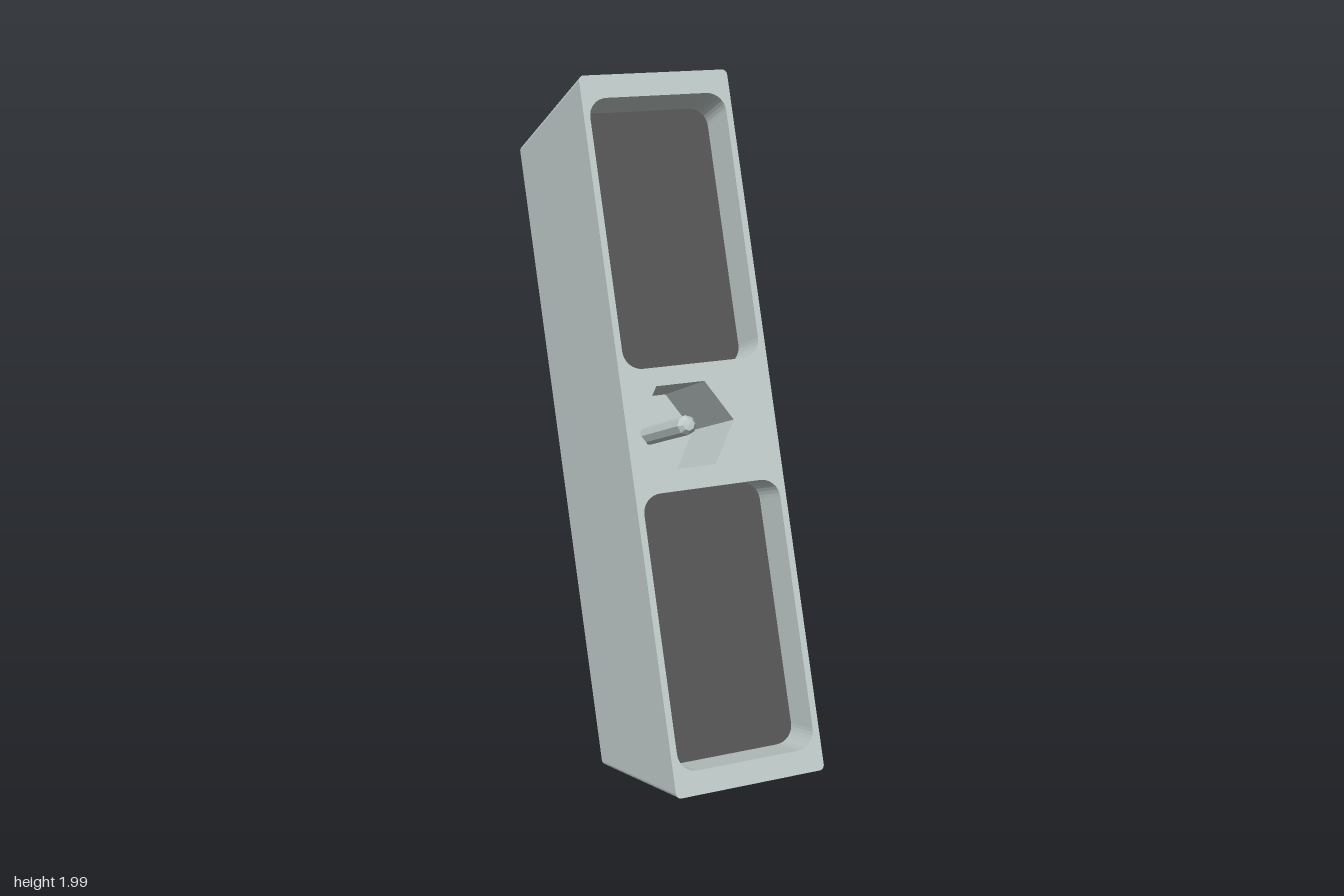
import * as THREE from 'three';

const W = 0.412, L = 1.871, D = 0.70, TILT = -0.418;
const PIN_X = -0.044, PIN_Y = 0.004;

// Rounded rectangle outline, used for both shapes and holes
function roundedRect(target, cx, cy, w, h, r) {
  const x = w / 2 - r, y = h / 2 - r;
  target.absarc(cx + x, cy + y, r, 0, Math.PI / 2);
  target.absarc(cx - x, cy + y, r, Math.PI / 2, Math.PI);
  target.absarc(cx - x, cy - y, r, Math.PI, Math.PI * 1.5);
  target.absarc(cx + x, cy - y, r, Math.PI * 1.5, Math.PI * 2);
  target.closePath();
  return target;
}

function hexagon() {
  const p = [];
  for (let i = 0; i < 6; i++) {
    const a = i * Math.PI / 3;
    p.push(new THREE.Vector2(PIN_X + 0.133 * Math.cos(a), PIN_Y + 0.129 * Math.sin(a) * 0.98));
  }
  return new THREE.Path(p);
}

export function createModel() {
  const model = new THREE.Group();
  model.name = 'tiltedCase';
  const body = new THREE.MeshStandardMaterial({ color: 0xc2cecc });
  const dark = new THREE.MeshStandardMaterial({ color: 0x555555 });
  const metal = new THREE.MeshStandardMaterial({ color: 0xc2cecc, flatShading: true, side: THREE.DoubleSide });

  const tilted = new THREE.Group();
  tilted.name = 'case';
  tilted.rotation.x = TILT;
  tilted.position.y = 1;
  model.add(tilted);

  const add = (name, geometry, material) => {
    const mesh = new THREE.Mesh(geometry, material);
    mesh.name = name;
    tilted.add(mesh);
    return mesh;
  };
  const slab = (name, shape, z0, z1, material) => {
    const g = new THREE.ExtrudeGeometry(shape, { depth: z1 - z0, bevelEnabled: false, curveSegments: 4 });
    g.translate(0, 0, z0);
    return add(name, g, material);
  };

  const pocket = (target, s) => roundedRect(target, 0, s * 0.518, 0.378, 0.712, 0.05);
  const outline = () => roundedRect(new THREE.Shape(), 0, 0, W, L, 0.014);
  // Two rear cells behind each front pocket
  const cells = () => [0.698, 0.35, -0.35, -0.698].map(
    y => roundedRect(new THREE.Path(), 0, y, 0.312, 0.303, 0.008));

  // Body in three layers: front pockets, socket depth, rear cells
  const front = outline();
  front.holes.push(pocket(new THREE.Path(), 1), pocket(new THREE.Path(), -1), hexagon());
  slab('frontFrame', front, 0.20, D / 2, body);

  const middle = outline();
  middle.holes.push(...cells(), hexagon());
  slab('middleBody', middle, 0.02, 0.20, body);

  const rear = outline();
  rear.holes.push(...cells());
  slab('rearBody', rear, -D / 2, 0.02, body);

  // Dark panels on the pocket floors
  for (const s of [1, -1]) {
    slab(s > 0 ? 'upperPanel' : 'lowerPanel', pocket(new THREE.Shape(), s), 0.192, 0.203, dark);
  }

  // Contact pin standing in the hexagonal socket
  const pinProfile = [[0.026, 0.01], [0.026, 0.355], [0.016, 0.372], [0, 0.374]];
  const pin = new THREE.LatheGeometry(pinProfile.map(p => new THREE.Vector2(...p)), 8);
  pin.rotateX(Math.PI / 2);
  pin.translate(PIN_X, PIN_Y, 0);
  add('contactPin', pin, metal);

  // Stepped hollow connector on the back
  const plugProfile = [[0.056, 0.34], [0.056, 0.398], [0.046, 0.402], [0.046, 0.447],
    [0.034, 0.447], [0.034, 0.36], [0, 0.36]];
  const plug = new THREE.LatheGeometry(plugProfile.map(p => new THREE.Vector2(...p)), 10);
  plug.rotateX(-Math.PI / 2);
  plug.translate(PIN_X, PIN_Y + 0.004, 0);
  add('rearConnector', plug, metal);

  return model;
}
